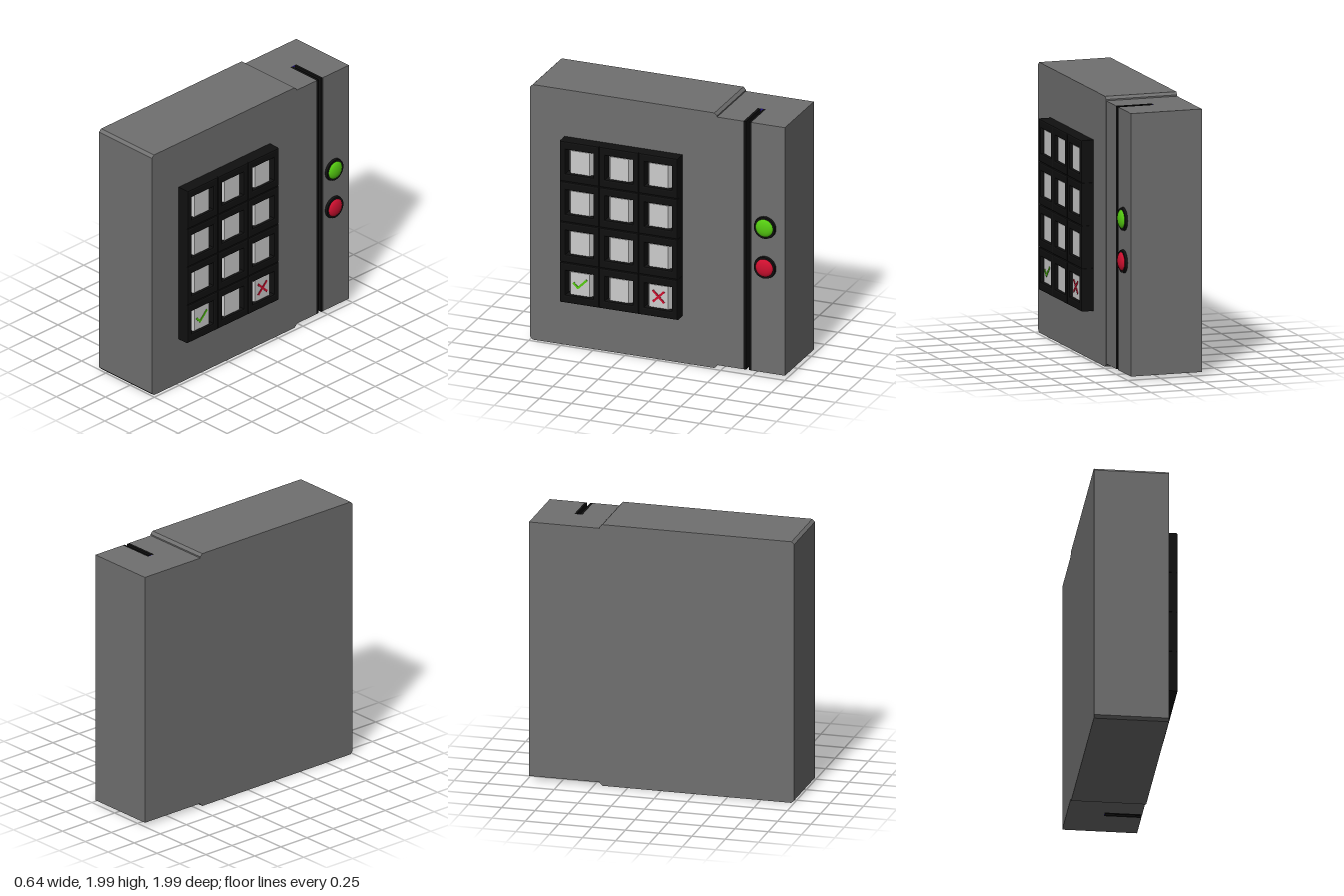
import * as THREE from 'three';

const mat = (color) => new THREE.MeshStandardMaterial({ color });
const casing = mat(0x707070), black = mat(0x101010), silver = mat(0xcccccc);
const green = mat(0x55cc11), red = mat(0xd01030), blue = mat(0x3a22cc);

function add(parent, name, geometry, material) {
  const mesh = new THREE.Mesh(geometry, material);
  mesh.name = name;
  parent.add(mesh);
  return mesh;
}

// Box given by its limits along x, y and z
function block(parent, name, material, [x0, x1], [y0, y1], [z0, z1]) {
  const mesh = add(parent, name, new THREE.BoxGeometry(x1 - x0, y1 - y0, z1 - z0), material);
  mesh.position.set((x0 + x1) / 2, (y0 + y1) / 2, (z0 + z1) / 2);
  return mesh;
}

// Rectangle centred on the origin, as a Shape or a Path
function rect(Type, w, h) {
  return new Type([[-1, -1], [1, -1], [1, 1], [-1, 1]].map(
    ([a, b]) => new THREE.Vector2(a * w / 2, b * h / 2)));
}

// Extrusion turned so that it grows along +x, with shape x running along -z
function extrudeX(shape, depth, options = {}) {
  return new THREE.ExtrudeGeometry(shape, { depth, bevelEnabled: false, ...options }).rotateY(Math.PI / 2);
}

// Square black surround with a flared opening and a tapered silver key
function keyUnit() {
  const unit = new THREE.Group();
  const outline = rect(THREE.Shape, 0.307, 0.313);
  outline.holes.push(rect(THREE.Path, 0.215, 0.185));
  const b = 0.012;
  add(unit, 'keySurround', extrudeX(outline, 0.083, {
    bevelEnabled: true, bevelSize: b, bevelOffset: -b, bevelThickness: b, bevelSegments: 2,
  }), black);

  const cap = new THREE.BoxGeometry(0.08, 0.2, 0.23);
  const p = cap.attributes.position;
  for (let i = 0; i < p.count; i++) {
    if (p.getX(i) > 0) p.setXYZ(i, p.getX(i), p.getY(i) * 0.88, p.getZ(i) * 0.64);
  }
  cap.computeVertexNormals();
  add(unit, 'keyCap', cap, silver).position.x = 0.04;
  return unit;
}

// Thin bars joining points given as [across, up], used for the key symbols
function strokes(parent, name, material, segments) {
  for (const [a, b, c, d] of segments) {
    const bar = add(parent, name, new THREE.BoxGeometry(0.006, 0.016, Math.hypot(c - a, d - b) + 0.012), material);
    bar.position.set(0.081, (b + d) / 2, -(a + c) / 2);
    bar.rotation.x = Math.atan2(d - b, c - a);
  }
}

// Coloured dome sitting in a black ring
function indicator(name, material, y) {
  const lamp = new THREE.Group();
  lamp.name = name;
  lamp.position.set(0.225, y, -0.836);
  add(lamp, 'indicatorRing', new THREE.CylinderGeometry(0.082, 0.086, 0.018, 32).rotateZ(-Math.PI / 2), black)
    .position.x = 0.007;
  const dome = new THREE.SphereGeometry(0.069, 24, 10, 0, Math.PI * 2, 0, Math.PI / 2)
    .scale(1, 0.4, 1).rotateZ(-Math.PI / 2);
  add(lamp, 'indicatorDome', dome, material).position.x = 0.012;
  return lamp;
}

export function createModel() {
  const model = new THREE.Group();
  model.name = 'keypadCardReader';

  // Main housing with clipped corners in side profile
  const c = 0.02, z0 = -0.46, y0 = 0.005, y1 = 1.99;
  const profile = new THREE.Shape([
    [-1 + c, y0], [-z0 - c, y0], [-z0, y0 + c], [-z0, y1 - c],
    [-z0 - c, y1], [-1 + c, y1], [-1, y1 - c], [-1, y0 + c],
  ].map(([x, y]) => new THREE.Vector2(x, y)));
  add(model, 'mainHousing', extrudeX(profile, 0.545), casing).position.x = -0.32;

  // Card reader: spine, the two jaws, and the lined swipe slot between them
  const reader = new THREE.Group();
  reader.name = 'cardReader';
  model.add(reader);
  const tall = [0.03, 1.96];
  block(reader, 'readerSpine', casing, [-0.32, -0.05], tall, [-0.99, -0.46]);
  block(reader, 'innerJaw', casing, [-0.05, 0.223], tall, [-0.665, -0.46]);
  block(reader, 'outerJaw', casing, [-0.05, 0.223], tall, [-0.99, -0.727]);
  block(reader, 'innerSlotLiner', black, [-0.05, 0.222], tall, [-0.686, -0.665]);
  block(reader, 'outerSlotLiner', black, [-0.05, 0.222], tall, [-0.727, -0.71]);
  block(reader, 'slotFloor', blue, [-0.05, -0.045], tall, [-0.71, -0.686]);
  block(reader, 'slotFloorStrip', casing, [-0.045, -0.043], [0.04, 1.95], [-0.704, -0.692]);

  // Keypad: four rows of three keys
  const keypad = new THREE.Group();
  keypad.name = 'keypad';
  model.add(keypad);
  for (let row = 0; row < 4; row++) {
    for (let col = 0; col < 3; col++) {
      const key = keyUnit();
      key.name = `keyRow${row + 1}Column${col + 1}`;
      key.position.set(0.225, 1.47 - row * 0.3143, 0.577 - col * 0.307);
      // The surround's bevel starts behind the mounting plane
      key.children[0].position.x = 0;
      keypad.add(key);
      if (row === 3 && col === 0) {
        strokes(key, 'tickMark', green, [[-0.048, 0.002, -0.016, -0.03], [-0.016, -0.03, 0.05, 0.036]]);
      }
      if (row === 3 && col === 2) {
        strokes(key, 'crossMark', red, [[-0.04, -0.04, 0.04, 0.04], [-0.04, 0.04, 0.04, -0.04]]);
      }
    }
  }

  // Status lamps on the outer jaw
  model.add(indicator('greenLamp', green, 1.16), indicator('redLamp', red, 0.85));
  return model;
}
